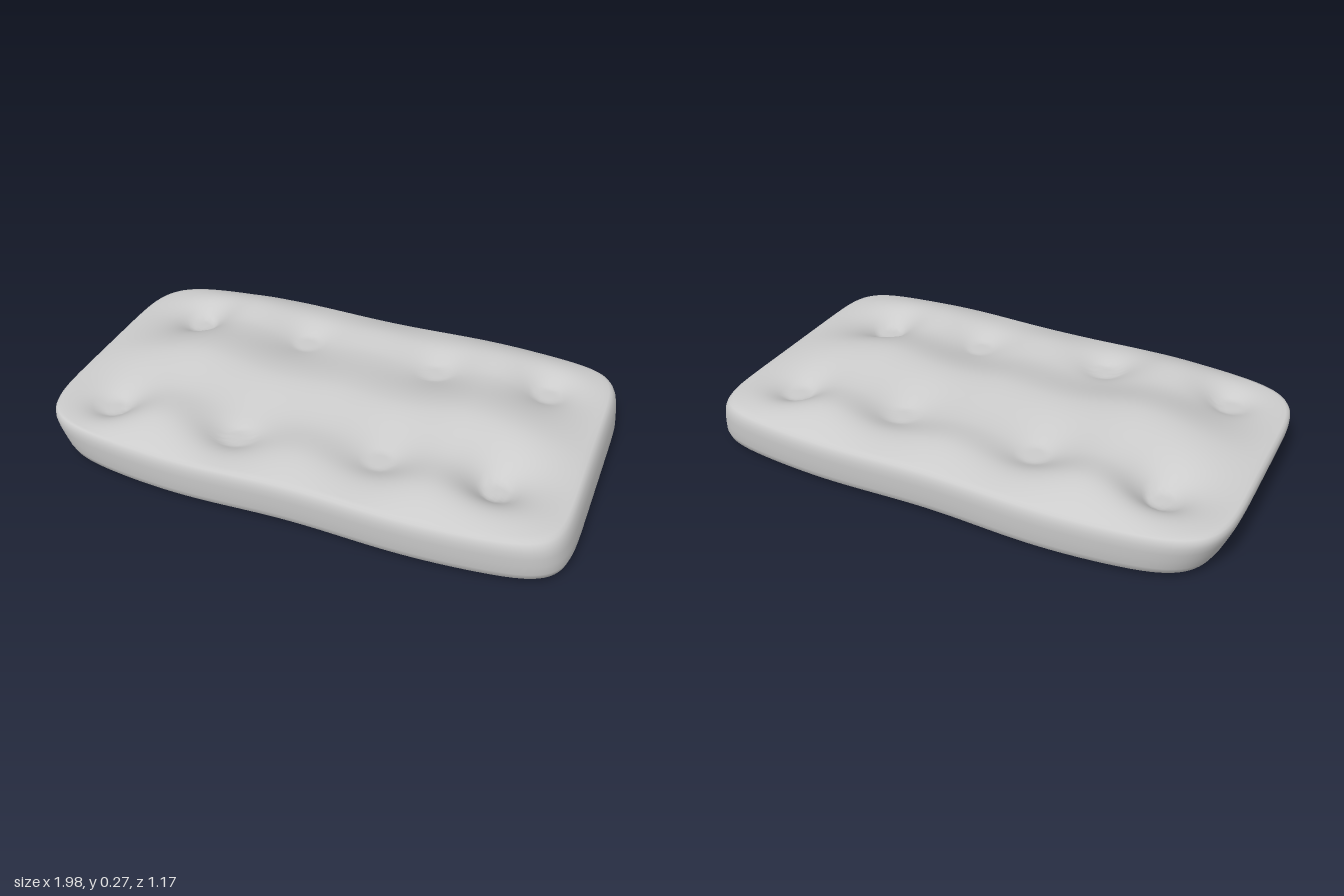
import * as THREE from 'three';
import { mergeVertices } from 'three/addons/utils/BufferGeometryUtils.js';

const SEGMENTS = 192;
const TOP_RINGS = 44;

// Tufted dimples: x, z, floor height
const TUFTS = [
  [-0.73, -0.30, 0.14], [-0.25, -0.29, 0.17], [0.30, -0.28, 0.17], [0.75, -0.31, 0.16],
  [-0.76, 0.35, 0.15], [-0.25, 0.36, 0.16], [0.28, 0.30, 0.165], [0.71, 0.28, 0.14],
];

// Smooth interpolation through [position, value] pairs
function smoothCurve(points) {
  return (p) => {
    if (p <= points[0][0]) return points[0][1];
    for (let i = 1; i < points.length; i++) {
      const [p0, v0] = points[i - 1], [p1, v1] = points[i];
      if (p <= p1) return v0 + (v1 - v0) * THREE.MathUtils.smoothstep(p, p0, p1);
    }
    return points[points.length - 1][1];
  };
}

// Pillowy crown along the length, and its ratio across the width
const crown = smoothCurve([[-1, 0.21], [-0.54, 0.277], [-0.2, 0.23], [0.02, 0.243],
  [0.24, 0.228], [0.55, 0.268], [1, 0.225]]);
const across = smoothCurve([[-0.6, 0.93], [-0.43, 0.98], [-0.26, 0.89], [0.01, 1],
  [0.25, 0.87], [0.43, 0.95], [0.6, 0.9]]);

// Unit direction on a square, pulled in to a rounded rectangle
function outline(k) {
  const side = Math.floor((k * 4) / SEGMENTS);
  const t = ((k * 4) / SEGMENTS - side) * 2 - 1;
  const [u, v] = [[1, -t], [-t, -1], [-1, t], [t, 1]][side];
  const n = u < 0 ? 6 : 8;
  const f = Math.pow(Math.abs(u) ** n + Math.abs(v) ** n, -1 / n);
  return [u * f, v * f];
}

// Height of the quilted top; s runs from 0 in the middle to 1 at the rim
function topHeight(x, z, s) {
  const rim = 0.183;
  let y = rim + (crown(x) * across(z) - rim) * (1 - s ** 6);
  for (const [tx, tz, floor] of TUFTS) {
    const d = Math.max(0, Math.hypot(x - tx, z - tz) - 0.05);
    y += (Math.min(floor, y) - y) * Math.exp(-((d / 0.085) ** 1.15));
  }
  return y;
}

function cushionGeometry() {
  const positions = [], index = [];

  const addRing = (inset, s, height) => {
    for (let k = 0; k < SEGMENTS; k++) {
      const [u, v] = outline(k);
      const wave = 1 + 0.012 * Math.cos(u * 7.5 + 2.9) * Math.abs(v);
      let x = u * (0.997 - inset) * s;
      const z = v * (0.578 - inset) * wave * s;
      const y = height === null ? topHeight(x, z, s) : height;
      // The two ends lean differently
      const lean = THREE.MathUtils.clamp(1 - y / 0.16, 0, 1);
      if (x < 0) x *= 1 - 0.05 * lean;
      else if (height !== null) x *= 1 - 0.03 * THREE.MathUtils.clamp((y - 0.05) / 0.14, 0, 1);
      else x *= 0.972;
      positions.push(x, y, z);
    }
  };

  // Underside and side wall
  const wall = [[0.075, 0.3, 0], [0.075, 0.7, 0.003], [0.075, 0.92, 0.006], [0.05, 1, 0.009],
    [0.028, 1, 0.014], [0.013, 1, 0.027], [0.007, 1, 0.05], [0.003, 1, 0.085],
    [0, 1, 0.12], [0, 1, 0.145], [0.004, 1, 0.163], [0.01, 1, 0.175]];
  wall.forEach(([inset, s, y]) => addRing(inset, s, y));
  // Quilted top, from rim to middle
  for (let r = 0; r < TOP_RINGS; r++) addRing(0.02, 1 - r / TOP_RINGS, null);

  const rings = wall.length + TOP_RINGS;
  const bottom = positions.length / 3, top = bottom + 1;
  positions.push(0, 0, 0, 0, topHeight(0, 0, 0), 0);

  for (let k = 0; k < SEGMENTS; k++) {
    const n = (k + 1) % SEGMENTS;
    for (let r = 0; r < rings - 1; r++) {
      const a = r * SEGMENTS + k, b = r * SEGMENTS + n;
      index.push(a, b, b + SEGMENTS, a, b + SEGMENTS, a + SEGMENTS);
    }
    const last = (rings - 1) * SEGMENTS;
    index.push(bottom, n, k, top, last + k, last + n);
  }

  const geometry = new THREE.BufferGeometry();
  geometry.setAttribute('position', new THREE.Float32BufferAttribute(positions, 3));
  geometry.setIndex(index);
  const welded = mergeVertices(geometry, 1e-5);
  welded.computeVertexNormals();
  return welded;
}

export function createModel() {
  const group = new THREE.Group();
  group.name = 'tuftedCushion';
  const cushion = new THREE.Mesh(cushionGeometry(), new THREE.MeshStandardMaterial({ color: 0xcccccc }));
  cushion.name = 'cushion';
  group.add(cushion);
  // Settle on the ground, centred
  const box = new THREE.Box3().setFromObject(cushion);
  const centre = box.getCenter(new THREE.Vector3());
  cushion.position.set(-centre.x, -box.min.y, -centre.z);
  return group;
}
